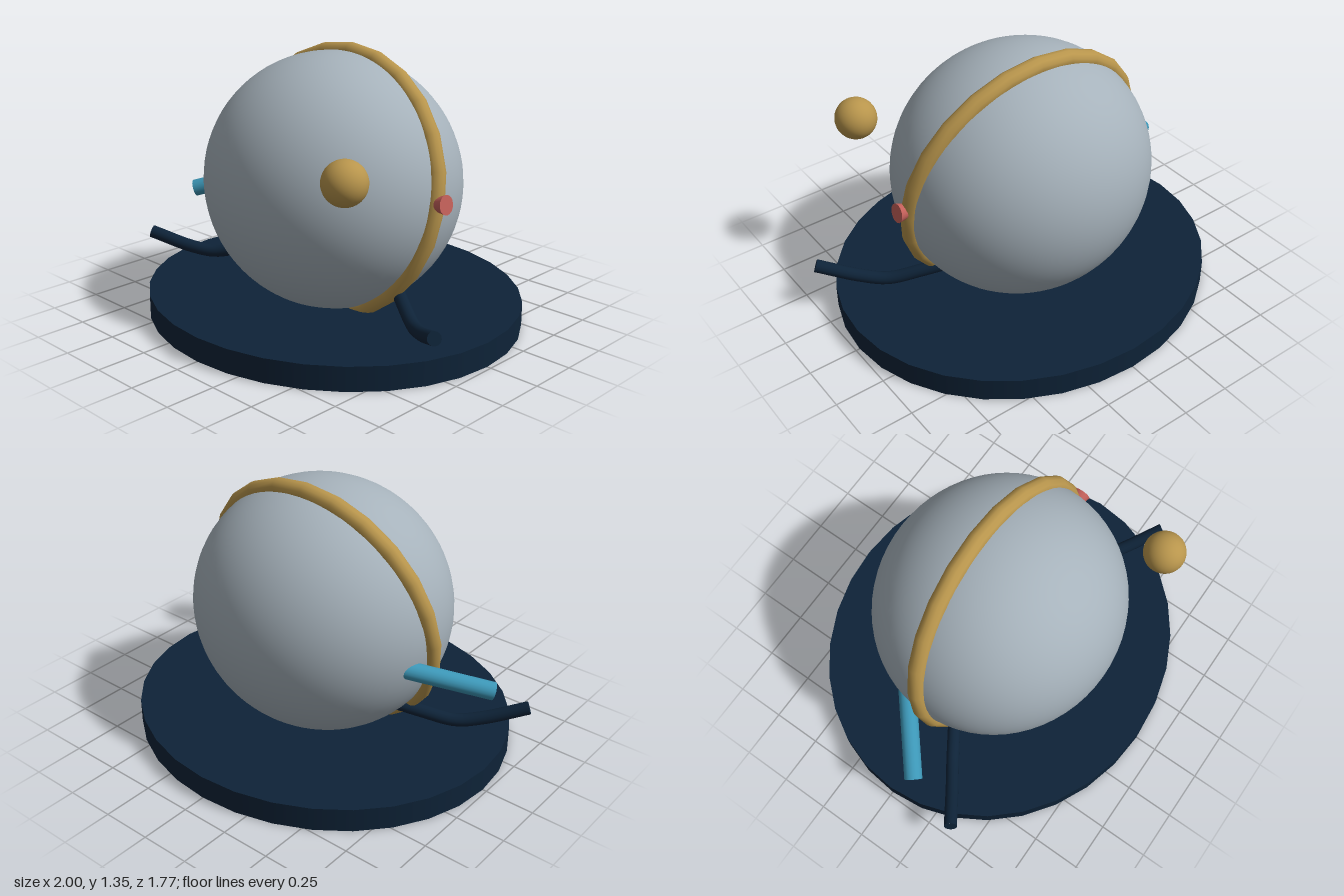
import * as THREE from 'three';

const mat = (name, color) => {
  const m = new THREE.MeshStandardMaterial({ color });
  m.name = name;
  return m;
};

export function createModel() {
  const group = new THREE.Group();
  const navy = mat('navy', 0x0e2338);
  const grey = mat('cool grey', 0xa6b2bb);
  const gold = mat('gold', 0xb8954c);
  const teal = mat('teal blue', 0x3c96b6);
  const red = mat('coral red', 0xc4605a);

  const add = (name, geometry, material, x = 0, y = 0, z = 0) => {
    const mesh = new THREE.Mesh(geometry, material);
    mesh.name = name;
    mesh.position.set(x, y, z);
    group.add(mesh);
    return mesh;
  };

  // Cylinder running between two points
  const rod = (name, from, to, rFrom, rTo, material, sides) => {
    const a = new THREE.Vector3(...from), b = new THREE.Vector3(...to);
    const dir = b.clone().sub(a);
    const mid = a.clone().add(b).multiplyScalar(0.5);
    const mesh = add(name, new THREE.CylinderGeometry(rTo, rFrom, dir.length(), sides), material, mid.x, mid.y, mid.z);
    mesh.quaternion.setFromUnitVectors(new THREE.Vector3(0, 1, 0), dir.normalize());
    return mesh;
  };

  // Oval base disc
  add('base', new THREE.CylinderGeometry(0.98, 0.98, 0.12, 32), navy, 0, 0.06, 0).scale.z = 0.903;

  // Large body, slightly wider than deep
  add('body', new THREE.SphereGeometry(1, 64, 40), grey, 0, 0.68, 0).scale.set(0.655, 0.635, 0.616);

  // Leaning band around the body
  const band = add('band', new THREE.TorusGeometry(0.65, 0.045, 12, 24), gold, 0, 0.675, 0);
  band.scale.y = 0.984;
  band.rotation.x = -0.2;

  // Floating ball, side pin and spout
  add('ball', new THREE.SphereGeometry(0.104, 32, 20), gold, 0.6, 0.905, 0.54);
  rod('pin', [0.645, 0.697, 0], [0.717, 0.709, 0], 0.028, 0.047, red, 20);
  rod('spout', [-0.5, 0.62, -0.215], [-0.92, 0.465, 0.13], 0.044, 0.044, teal, 20);

  // Curved arms with flat outer ends, one on each side
  for (const s of [-1, 1]) {
    const points = [[0.45, 0.25, 0.03], [0.55, 0.215, 0.095], [0.69, 0.175, 0.185], [0.8, 0.194, 0.262], [0.98, 0.265, 0.385]]
      .map(([x, y, z]) => new THREE.Vector3(s * x, y, z));
    const curve = new THREE.CatmullRomCurve3(points);
    const name = s > 0 ? 'leftArm' : 'rightArm';
    add(name, new THREE.TubeGeometry(curve, 28, 0.033, 14), navy);
    const cap = add(name + 'End', new THREE.CircleGeometry(0.033, 14), navy, ...curve.getPoint(1).toArray());
    cap.quaternion.setFromUnitVectors(new THREE.Vector3(0, 0, 1), curve.getTangent(1));
  }

  return group;
}
